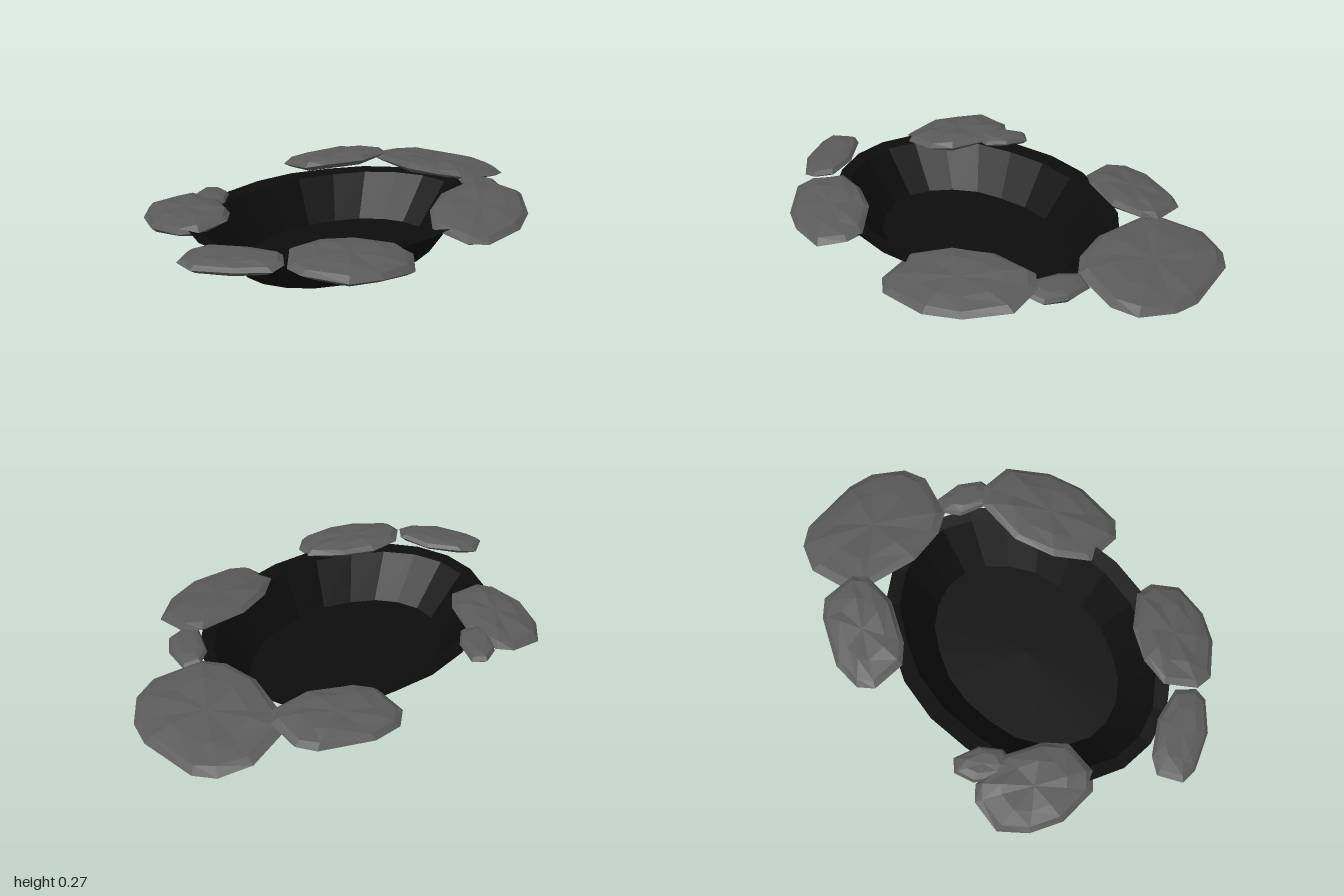
import * as THREE from 'three';

// Skins a stack of equal-length rings (clockwise from above, lowest first), closed below and optionally above.
function loft(rings, capTop) {
  const n = rings[0].length, index = [];
  const points = rings.flat();
  for (let r = 0; r < rings.length - 1; r++) {
    for (let i = 0; i < n; i++) {
      const j = (i + 1) % n, lo = r * n, up = lo + n;
      index.push(lo + i, up + i, up + j, lo + i, up + j, lo + j);
    }
  }
  const cap = (r, top) => {
    const centre = new THREE.Vector3();
    rings[r].forEach((p) => centre.addScaledVector(p, 1 / n));
    const c = points.push(centre) - 1;
    for (let i = 0; i < n; i++) {
      const a = r * n + i, b = r * n + (i + 1) % n;
      index.push(c, ...(top ? [b, a] : [a, b]));
    }
  };
  cap(0, false);
  if (capTop) cap(rings.length - 1, true);
  const geometry = new THREE.BufferGeometry().setFromPoints(points);
  geometry.setIndex(index);
  const flat = geometry.toNonIndexed();
  flat.computeVertexNormals();
  return flat;
}

// Open basin: oval floor, sloping wall and a narrow, almost level lip, as [x radius, z radius, y]
function basinGeometry() {
  const sides = 22;
  const sections = [[0.345, 0.48, 0], [0.465, 0.64, 0.19], [0.535, 0.695, 0.2]];
  const rings = sections.map(([rx, rz, y]) => Array.from({ length: sides }, (_, i) => {
    const t = (i / sides) * Math.PI * 2;
    const wobble = 1 + 0.012 * Math.sin(i * 2.3);
    return new THREE.Vector3(rx * wobble * Math.cos(t), y, 0.1 + rz * Math.sin(t));
  }));
  return loft(rings, false);
}

// Stones: centre, half length and width, direction of the length, slope along x and z, half thickness h
const STONES = [
  { name: 'backStone', at: [-0.16, 0.19, -0.745], size: [0.335, 0.255], turn: 0, slope: [0, 0.13], h: 0.033, sides: 12 },
  { name: 'backRightStone', at: [-0.51, 0.222, -0.38], size: [0.26, 0.16], turn: -1.18, slope: [0.11, 0], h: 0.033, sides: 10 },
  { name: 'backPebble', at: [0.245, 0.205, -0.575], size: [0.14, 0.08], turn: 0.45, slope: [0, 0.08], h: 0.025, sides: 7 },
  { name: 'backLeftStone', at: [0.473, 0.203, -0.271], size: [0.318, 0.195], turn: 1.16, slope: [-0.15, -0.04], h: 0.033, sides: 10 },
  { name: 'frontLeftStone', at: [0.48, 0.203, 0.51], size: [0.255, 0.165], turn: 2.04, slope: [-0.15, 0], h: 0.033, sides: 10 },
  { name: 'frontStone', at: [0.19, 0.218, 0.844], size: [0.21, 0.108], turn: -0.56, slope: [-0.03, -0.08], h: 0.027, sides: 9 },
  { name: 'frontRightStone', at: [-0.406, 0.192, 0.603], size: [0.25, 0.17], turn: 0.38, slope: [0.05, -0.08], h: 0.035, sides: 10 },
  { name: 'rightPebble', at: [-0.5, 0.2, 0.395], size: [0.13, 0.075], turn: 0.72, slope: [0.05, 0], h: 0.025, sides: 7 },
];

// Cross-sections of a stone from underside to top: [scale, height in half thicknesses]
const STONE_SECTIONS = [[0.55, -1], [0.86, -0.6], [1, 0], [0.88, 0.6], [0.55, 1]];

// A blunt oval outline with unevenly spaced corners, bevelled above and below and tilted
function stoneGeometry({ at: [cx, cy, cz], size, turn, slope, h, sides }) {
  const blunt = (v) => Math.sign(v) * Math.abs(v) ** 0.85;
  const cos = Math.cos(turn), sin = Math.sin(turn);
  const rings = STONE_SECTIONS.map(([scale, level], r) => Array.from({ length: sides }, (_, i) => {
    const t = (i / sides) * Math.PI * 2 + 0.12 * Math.sin(i * 2.4 + cx * 9);
    const u = size[0] * scale * blunt(Math.cos(t));
    const v = size[1] * scale * blunt(Math.sin(t));
    const dx = u * cos - v * sin, dz = u * sin + v * cos;
    const rough = 0.15 * h * Math.sin(i * 3.1 + r + cz * 7);
    return new THREE.Vector3(cx + dx, cy + level * h + rough + slope[0] * dx + slope[1] * dz, cz + dz);
  }));
  return loft(rings, true);
}

export function createModel() {
  const model = new THREE.Group();
  const basinMaterial = new THREE.MeshStandardMaterial({ color: 0x0c0c0c, flatShading: true, side: THREE.DoubleSide });
  const stoneMaterial = new THREE.MeshStandardMaterial({ color: 0x5a5a5a, flatShading: true });

  const basin = new THREE.Mesh(basinGeometry(), basinMaterial);
  basin.name = 'basin';
  model.add(basin);

  // Flat stones resting around the rim
  const stones = new THREE.Group();
  stones.name = 'rimStones';
  for (const stone of STONES) {
    const mesh = new THREE.Mesh(stoneGeometry(stone), stoneMaterial);
    mesh.name = stone.name;
    stones.add(mesh);
  }
  model.add(stones);
  return model;
}
